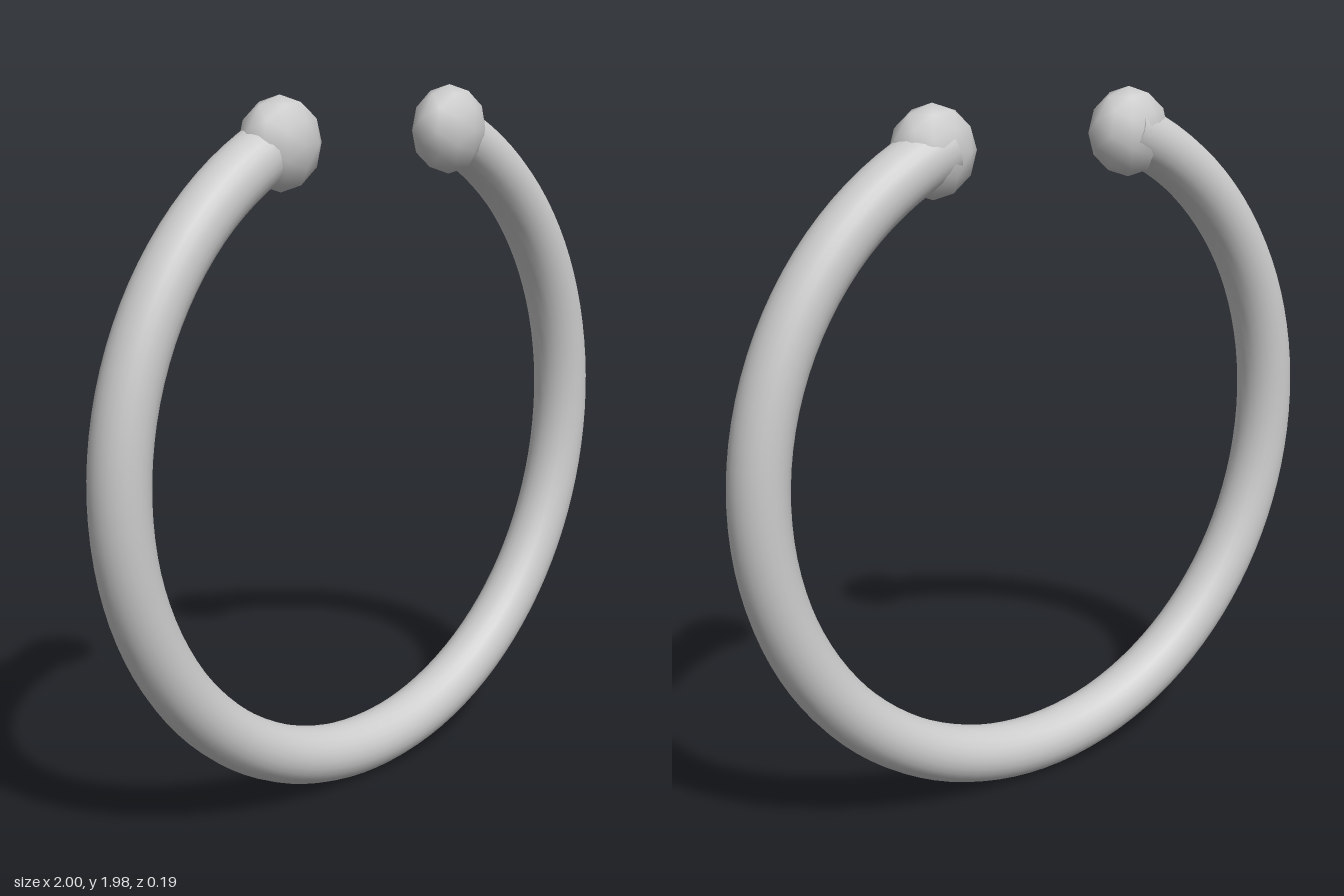
import * as THREE from 'three';

const RING_R = 0.918, TUBE_R = 0.082, RING_Z = -0.012;
const HALF_GAP = THREE.MathUtils.degToRad(20.5);  // opening, measured from the top
const BALL_ANGLE = THREE.MathUtils.degToRad(22);

export function createModel() {
  const group = new THREE.Group();
  const material = new THREE.MeshStandardMaterial({ color: 0xcccccc });
  const add = (name, geometry) => {
    const mesh = new THREE.Mesh(geometry, material);
    mesh.name = name;
    group.add(mesh);
    return mesh;
  };

  // Open hoop, with its gap centred at the top
  const hoop = add('hoop', new THREE.TorusGeometry(RING_R, TUBE_R, 24, 96, Math.PI * 2 - 2 * HALF_GAP));
  hoop.position.set(0, 1, RING_Z);
  hoop.rotation.z = Math.PI / 2 + HALF_GAP;

  // Coarse, smooth-shaded ball, flattened front to back
  const ball = new THREE.IcosahedronGeometry(1, 1);
  ball.rotateX(Math.atan(2 / (1 + Math.sqrt(5))));
  ball.rotateZ(Math.PI / 2);
  ball.scale(0.127, 0.127, 0.093);

  for (const side of [1, -1]) {
    const name = side > 0 ? 'left' : 'right';

    // Flat cap closing the hoop end
    const cap = add(name + 'EndCap', new THREE.CircleGeometry(TUBE_R, 24));
    cap.position.set(side * RING_R * Math.sin(HALF_GAP), 1 + RING_R * Math.cos(HALF_GAP), RING_Z);
    cap.lookAt(cap.position.clone().add(
      new THREE.Vector3(-side * Math.cos(HALF_GAP), Math.sin(HALF_GAP), 0)));

    // Ball tip
    const tip = add(name + 'BallTip', ball);
    tip.position.set(side * RING_R * Math.sin(BALL_ANGLE), 1 + RING_R * Math.cos(BALL_ANGLE), -0.002);
  }
  return group;
}
